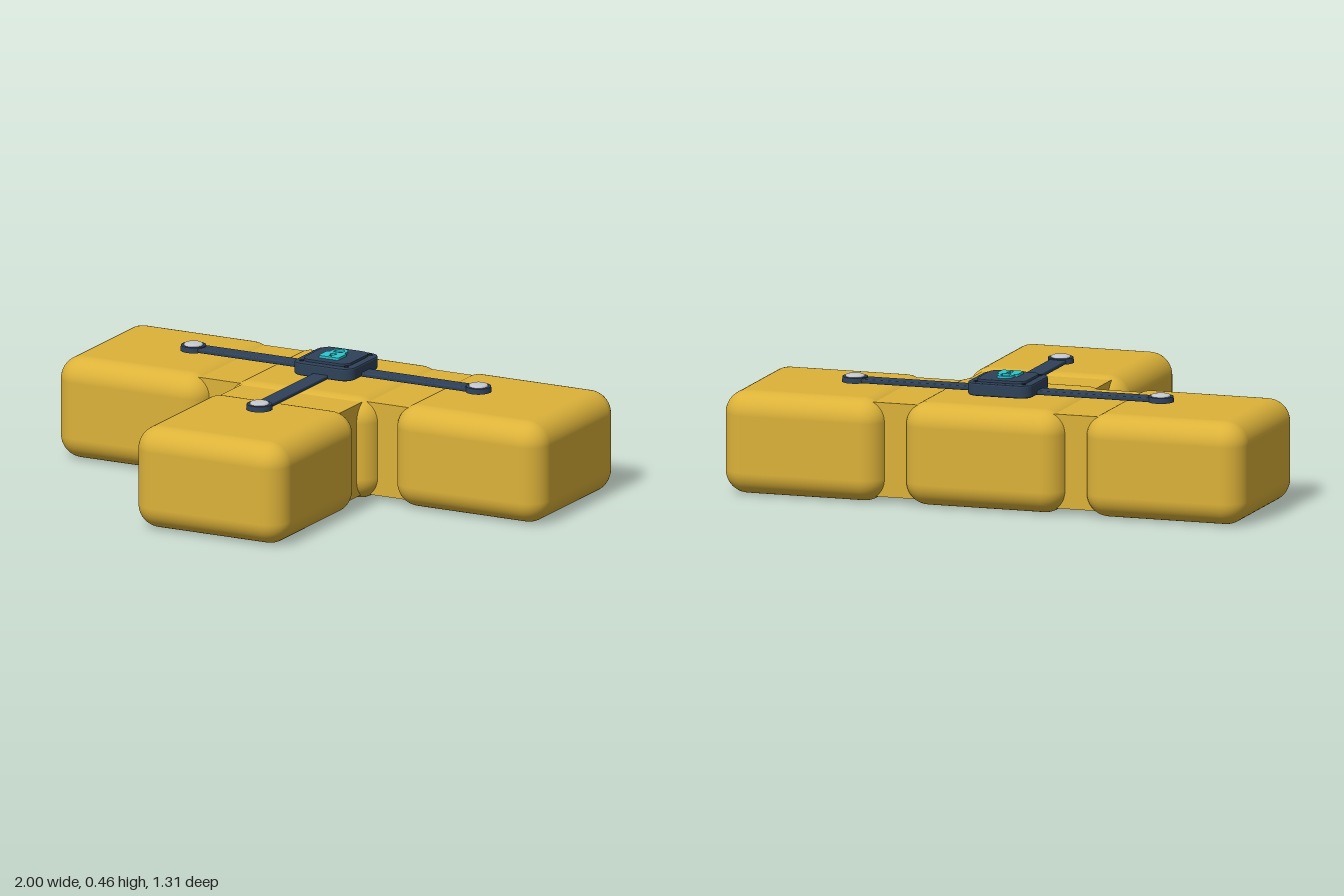
import * as THREE from 'three';
import { RoundedBoxGeometry } from 'three/addons/geometries/RoundedBoxGeometry.js';

const material = (name, color) => {
  const m = new THREE.MeshStandardMaterial({ color });
  m.name = name;
  return m;
};

// Rounded rectangle outline centred on the origin
function roundedRect(w, h, r) {
  const s = new THREE.Shape();
  const x = w / 2 - r, y = h / 2 - r;
  s.absarc(x, y, r, 0, Math.PI / 2);
  s.absarc(-x, y, r, Math.PI / 2, Math.PI);
  s.absarc(-x, -y, r, Math.PI, Math.PI * 1.5);
  s.absarc(x, -y, r, Math.PI * 1.5, Math.PI * 2);
  s.closePath();
  return s;
}

// Horizontal plate from an outline, its underside at y = 0; outline "up" points to -z
function plate(shape, height, bevel = 0) {
  const g = new THREE.ExtrudeGeometry(shape, {
    depth: height - 2 * bevel, bevelEnabled: bevel > 0, bevelThickness: bevel,
    bevelSize: bevel, bevelOffset: -bevel, bevelSegments: 2, curveSegments: 12,
  });
  return g.translate(0, 0, bevel).rotateX(-Math.PI / 2);
}

export function createModel() {
  const gold = material('gold', 0xdcb239);
  const navy = material('navy', 0x2f4259);
  const darkNavy = material('darkNavy', 0x1f2d40);
  const silver = material('silver', 0xc6cad0);
  const teal = material('teal', 0x2cc5cf);

  const model = new THREE.Group();
  model.name = 'blockPiece';
  const add = (name, geometry, mat, x, y, z, parent = model) => {
    const mesh = new THREE.Mesh(geometry, mat);
    mesh.name = name;
    mesh.position.set(x, y, z);
    parent.add(mesh);
    return mesh;
  };

  const row = -0.347;

  // Four soft-edged blocks in a T
  const block = new RoundedBoxGeometry(0.616, 0.38, 0.616, 6, 0.085);
  add('rightBlock', block, gold, -0.692, 0.19, row);
  add('centreBlock', block, gold, 0, 0.19, row);
  add('leftBlock', block, gold, 0.692, 0.19, row);
  add('frontBlock', block, gold, 0, 0.19, 0.347);

  // Bridges joining neighbouring blocks
  const bridge = new THREE.BoxGeometry(0.18, 0.348, 0.496);
  for (const [name, side] of [['rightBridge', -1], ['leftBridge', 1]])
    add(name, bridge, gold, side * 0.346, 0.194, row);
  add('frontBridge', new THREE.BoxGeometry(0.496, 0.348, 0.18), gold, 0, 0.194, -0.005);

  // Three arms reaching out from the hub, each ending in a riveted pad
  const strip = new RoundedBoxGeometry(0.585, 0.016, 0.064, 2, 0.005);
  const pad = new THREE.CylinderGeometry(0.046, 0.048, 0.02, 32);
  const rivet = new THREE.LatheGeometry([
    [0.035, 0], [0.035, 0.004], [0.031, 0.007], [0.018, 0.0085], [0, 0.009],
  ].map(([x, y]) => new THREE.Vector2(x, y)), 32);
  for (const [name, turn] of [['leftArm', 0], ['rightArm', Math.PI], ['frontArm', -Math.PI / 2]]) {
    const arm = new THREE.Group();
    arm.name = name;
    arm.position.set(0, 0.389, row);
    arm.rotation.y = turn;
    add('strip', strip, navy, 0.2925, 0.008, 0, arm);
    add('pad', pad, navy, 0.586, 0.01, 0, arm);
    add('rivet', rivet, silver, 0.586, 0.02, 0, arm);
    model.add(arm);
  }

  // Hub with raised lid and corner screws
  const hub = new THREE.Group();
  hub.name = 'hub';
  hub.position.set(0, 0.389, row);
  model.add(hub);
  add('hubBase', plate(roundedRect(0.246, 0.246, 0.045), 0.048, 0.006), navy, 0, 0, 0, hub);
  add('hubLid', plate(roundedRect(0.19, 0.19, 0.035), 0.012, 0.003), navy, 0, 0.046, 0, hub);
  const screw = new THREE.CylinderGeometry(0.008, 0.008, 0.004, 16);
  for (const x of [-0.092, 0.092])
    for (const z of [-0.092, 0.092]) add('screw', screw, darkNavy, x, 0.049, z, hub);

  // Padlock emblem: body with a keyhole opening, and a shackle arch
  const body = roundedRect(0.082, 0.07, 0.008);
  const keyhole = new THREE.Path();
  keyhole.absarc(0, 0.006, 0.011, -Math.PI * 0.3, Math.PI * 1.3);
  keyhole.lineTo(-0.006, -0.02);
  keyhole.lineTo(0.006, -0.02);
  keyhole.closePath();
  body.holes.push(keyhole);
  add('lockBody', plate(body, 0.009), teal, 0, 0.058, 0.025, hub);

  const shackle = new THREE.Shape();
  shackle.moveTo(0.03, 0);
  shackle.lineTo(0.03, 0.02);
  shackle.absarc(0, 0.02, 0.03, 0, Math.PI);
  shackle.lineTo(-0.03, 0);
  shackle.lineTo(-0.017, 0);
  shackle.lineTo(-0.017, 0.02);
  shackle.absarc(0, 0.02, 0.017, Math.PI, 0, true);
  shackle.lineTo(0.017, 0);
  shackle.closePath();
  add('lockShackle', plate(shackle, 0.009), teal, 0, 0.058, -0.01, hub);

  return model;
}
